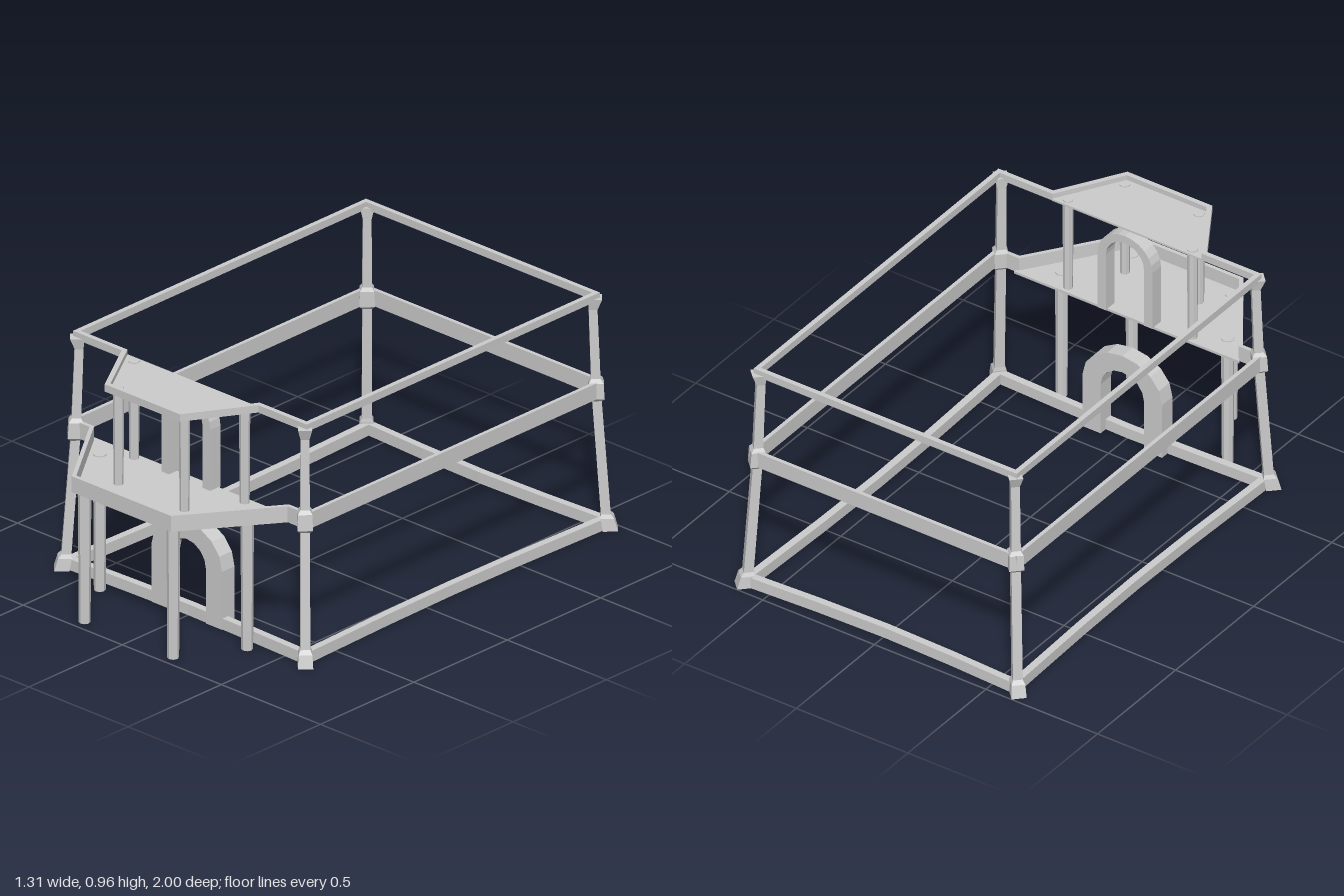
import * as THREE from 'three';

const plaster = new THREE.MeshStandardMaterial({ color: 0xcccccc, flatShading: true });
plaster.name = 'plain grey';

function add(parent, name, geometry) {
  const mesh = new THREE.Mesh(geometry, plaster);
  mesh.name = name;
  parent.add(mesh);
}

// Move every edge of an [x, z] outline inwards by t, with mitred corners
function inset(pts, t) {
  const n = pts.length;
  return pts.map((p, i) => {
    const a = pts[(i + n - 1) % n], b = pts[(i + 1) % n];
    const normal = (u, v) => {
      const l = Math.hypot(v[0] - u[0], v[1] - u[1]);
      return [-(v[1] - u[1]) / l, (v[0] - u[0]) / l];
    };
    const m = normal(a, p), k = normal(p, b);
    const s = t / (1 + m[0] * k[0] + m[1] * k[1]);
    return [p[0] + (m[0] + k[0]) * s, p[1] + (m[1] + k[1]) * s];
  });
}

const toVectors = (pts) => pts.map(([x, z]) => new THREE.Vector2(x, -z));

// Horizontal plate, or a ring of rails when a thickness is given
function slab(pts, y0, y1, thickness = 0) {
  const shape = new THREE.Shape(toVectors(pts));
  // The hole runs the opposite way round so its walls face inwards
  if (thickness) shape.holes.push(new THREE.Path(toVectors(inset(pts, thickness)).reverse()));
  const g = new THREE.ExtrudeGeometry(shape, { depth: y1 - y0, bevelEnabled: false });
  return g.rotateX(-Math.PI / 2).translate(0, y0, 0);
}

// Rectangle with a three-sided bay projecting from the front
function bayOutline(w, back, front, bay) {
  return [[-w, back], [w, back], [w, front], ...bay, [-w, front]];
}

// Leaning corner post: rows of [height, centre x, radius]
const POST = [
  [0, 0.615, 0.04], [0.05, 0.607, 0.036], [0.065, 0.603, 0.026],
  [0.525, 0.58, 0.025], [0.537, 0.58, 0.04], [0.6, 0.578, 0.038],
  [0.615, 0.577, 0.025], [0.895, 0.57, 0.023], [0.94, 0.575, 0.037],
];
function postGeometry(sx, sz) {
  const last = POST.length - 1;
  const g = new THREE.CylinderGeometry(1, 1, last, 4, last);
  const p = g.attributes.position;
  for (let i = 0; i < p.count; i++) {
    const [y, c, r] = POST[Math.round(p.getY(i) + last / 2)];
    const cz = (sz > 0 ? 0.632 : 0.92) + c - 0.575;
    p.setXYZ(i, sx * c + p.getX(i) * r, y, sz * cz + p.getZ(i) * r);
  }
  return g;
}

// Arch surround: an outer and an inner arched line joined at the feet
function archGeometry(base, outer, inner, z0, z1, segments) {
  const line = ([w, spring, top]) => {
    const pts = [new THREE.Vector2(w, base)];
    for (let i = 0; i <= segments; i++) {
      const a = (i / segments) * Math.PI;
      pts.push(new THREE.Vector2(w * Math.cos(a), spring + (top - spring) * Math.sin(a)));
    }
    pts.push(new THREE.Vector2(-w, base));
    return pts;
  };
  const shape = new THREE.Shape([...line(outer), ...line(inner).reverse()]);
  return new THREE.ExtrudeGeometry(shape, { depth: z1 - z0, bevelEnabled: false }).translate(0, 0, z0);
}

// Octagonal columns, slightly wider at the top
function columns(parent, name, spots, y0, y1, r) {
  for (const [x, z] of spots) {
    add(parent, name, new THREE.CylinderGeometry(r, r * 0.88, y1 - y0, 8).translate(x, (y0 + y1) / 2, z));
  }
}

export function createModel() {
  const model = new THREE.Group();
  model.name = 'houseFrame';

  // Corner posts
  for (const sx of [-1, 1]) for (const sz of [-1, 1]) add(model, 'cornerPost', postGeometry(sx, sz));

  // Ground rails, bowed slightly inwards at the middle of each side
  const ground = [
    [-0.61, -0.965], [-0.3, -0.95], [0, -0.943], [0.3, -0.95],
    [0.61, -0.965], [0.595, -0.5], [0.59, -0.15], [0.595, 0.2],
    [0.61, 0.665], [0.3, 0.655], [0, 0.648], [-0.3, 0.655],
    [-0.61, 0.665], [-0.595, 0.2], [-0.59, -0.15], [-0.595, -0.5],
  ];
  add(model, 'groundRail', slab(ground, 0, 0.045, 0.03));

  // Middle rail, which becomes a low rim round the sunken balcony floor
  const balcony = [[0.5, 0.645], [0.245, 1], [-0.255, 1], [-0.5, 0.645]];
  add(model, 'middleRail', slab(bayOutline(0.598, -0.945, 0.645, balcony), 0.537, 0.602, 0.016));
  const floor = [[-0.505, 0.615], [0.505, 0.615], [0.492, 0.645], [0.24, 0.993], [-0.25, 0.993], [-0.492, 0.645]];
  add(model, 'balconyFloor', slab(floor, 0.538, 0.548));

  // Top rail, which becomes a low rim round the porch roof
  const porch = [[0.345, 0.638], [0.19, 0.893], [-0.19, 0.893], [-0.345, 0.638]];
  add(model, 'topRail', slab(bayOutline(0.59, -0.93, 0.638, porch), 0.93, 0.96, 0.02));
  const roof = [[-0.335, 0.615], [0.335, 0.615], [0.335, 0.638], [0.184, 0.883], [-0.184, 0.883], [-0.335, 0.638]];
  add(model, 'porchRoof', slab(roof, 0.931, 0.939));

  // Columns under the balcony and under the porch roof
  columns(model, 'lowerColumn', [[-0.387, 0.71], [-0.237, 0.95], [0.21, 0.95], [0.357, 0.71]], 0, 0.552, 0.025);
  columns(model, 'upperColumn', [[-0.275, 0.645], [-0.165, 0.845], [0.168, 0.845], [0.283, 0.645]], 0.545, 0.943, 0.021);

  // Door surrounds
  add(model, 'lowerArch', archGeometry(0, [0.178, 0.235, 0.385], [0.097, 0.22, 0.312], 0.588, 0.655, 8));
  add(model, 'upperArch', archGeometry(0.545, [0.123, 0.795, 0.912], [0.085, 0.795, 0.88], 0.605, 0.66, 12));

  return model;
}
